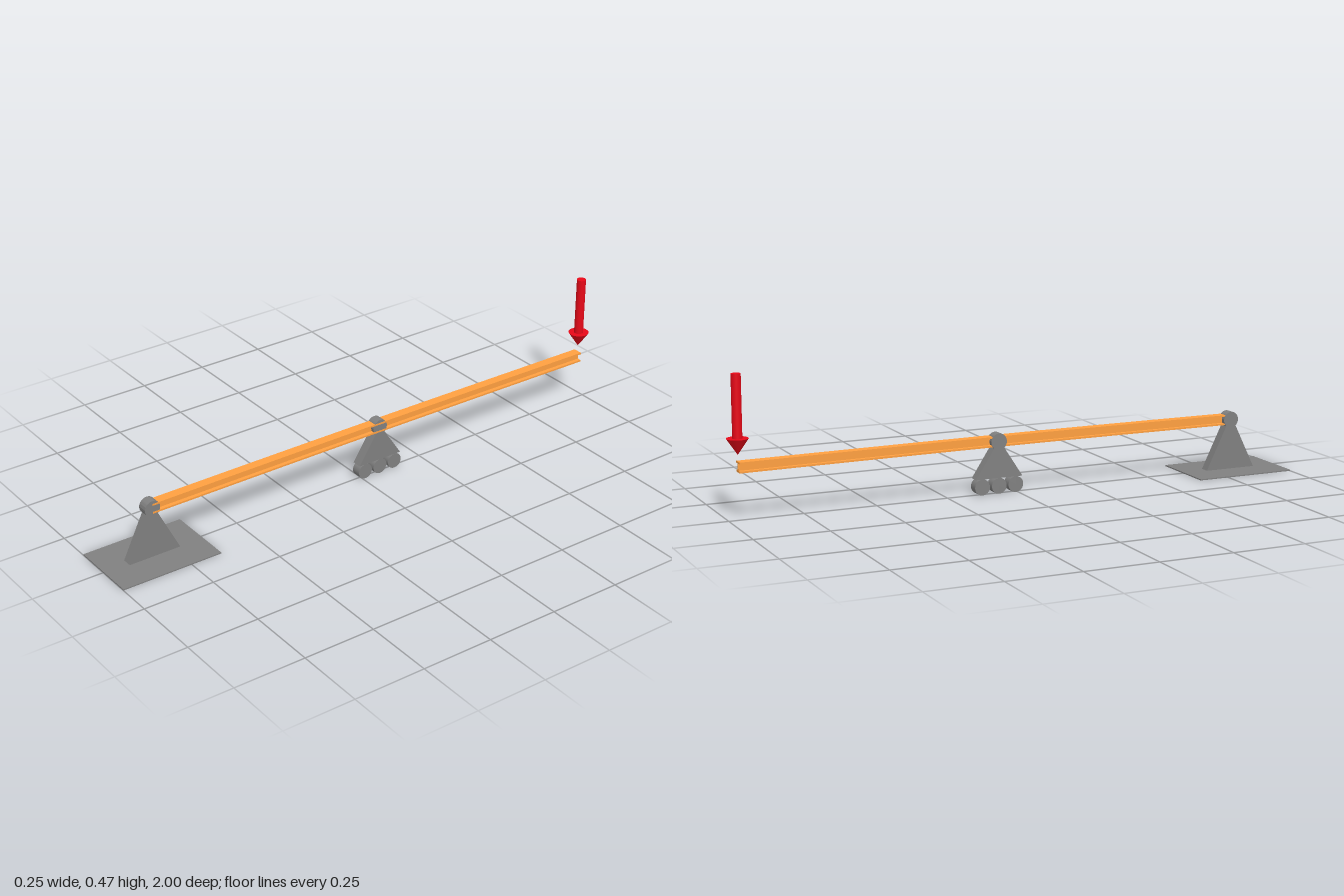
import * as THREE from 'three';
import { toCreasedNormals } from 'three/addons/utils/BufferGeometryUtils.js';

const PIN_Z = 0.82, ROLLER_Z = -0.07, TIP_Z = -0.965; // stations along the beam
const AXIS_Y = 0.178, HUB_R = 0.028, WIDTH = 0.035;

const darkGrey = new THREE.MeshStandardMaterial({ color: 0x808080 });
const orange = new THREE.MeshStandardMaterial({ color: 0xffa040 });
const red = new THREE.MeshStandardMaterial({ color: 0xe80818 });

function add(parent, name, geometry, material, x = 0, y = 0, z = 0) {
  const mesh = new THREE.Mesh(geometry, material);
  mesh.name = name;
  mesh.position.set(x, y, z);
  parent.add(mesh);
  return mesh;
}

// Tapered bracket with a round hub at the beam axis, extruded across x
function bracketGeometry(halfBase, baseY) {
  const a = 0.85; // hub meets the sloping sides this far below its centre
  const s = new THREE.Shape();
  s.moveTo(-halfBase, baseY);
  s.lineTo(halfBase, baseY);
  s.absarc(0, AXIS_Y, HUB_R, -a, Math.PI + a, false);
  s.closePath();
  const g = new THREE.ExtrudeGeometry(s, { depth: WIDTH, bevelEnabled: false, curveSegments: 32 });
  g.translate(0, 0, -WIDTH / 2).rotateY(-Math.PI / 2);
  return toCreasedNormals(g, 0.4);
}

// Deflection: slight uplift between the supports, droop on the overhang
function deflection(z) {
  const span = PIN_Z - ROLLER_Z;
  if (z > ROLLER_Z) {
    const t = (PIN_Z - z) / span;
    return 0.002 * t * (1 - t * t);
  }
  const u = (ROLLER_Z - z) / (ROLLER_Z - TIP_Z);
  return -0.002 * (2 * u + 1.5 * u * u - 0.5 * u * u * u);
}

// I-section swept along z and bent
function beamGeometry() {
  const w = 0.017, h = 0.0175, web = 0.003, f = 0.0115;
  const half = [[w, -h], [w, -f], [web, -f], [web, f], [w, f], [w, h]];
  const points = [...half, ...half.map(([x, y]) => [-x, y]).reverse()];
  const s = new THREE.Shape(points.map(([x, y]) => new THREE.Vector2(x, y)));
  const g = new THREE.ExtrudeGeometry(s, { depth: PIN_Z - TIP_Z, steps: 40, bevelEnabled: false });
  g.translate(0, AXIS_Y, TIP_Z);
  const p = g.attributes.position;
  for (let i = 0; i < p.count; i++) p.setY(i, p.getY(i) + deflection(p.getZ(i)));
  return toCreasedNormals(g, 0.4);
}

export function createModel() {
  const model = new THREE.Group();
  model.name = 'loadedBeam';

  // Beam sits slightly to the left, its flanges just proud of the brackets
  add(model, 'beam', beamGeometry(), orange, 0.0015);

  // Fixed pin support on its ground plate
  const pin = new THREE.Group();
  pin.name = 'pinSupport';
  pin.position.z = PIN_Z;
  add(pin, 'groundPlate', new THREE.BoxGeometry(0.25, 0.004, 0.36), darkGrey, 0, 0.002, 0);
  add(pin, 'pinBracket', bracketGeometry(0.094, 0.003), darkGrey);
  model.add(pin);

  // Sliding support on three rollers
  const slider = new THREE.Group();
  slider.name = 'rollerSupport';
  slider.position.z = ROLLER_Z;
  add(slider, 'rollerBracket', bracketGeometry(0.085, 0.055), darkGrey);
  const roller = new THREE.CylinderGeometry(0.027, 0.027, WIDTH, 32).rotateZ(Math.PI / 2);
  for (const z of [-0.061, 0, 0.061]) add(slider, 'roller', roller, darkGrey, 0, 0.028, z);
  model.add(slider);

  // Load arrow above the free end
  const arrow = new THREE.Group();
  arrow.name = 'loadArrow';
  arrow.position.z = TIP_Z;
  add(arrow, 'arrowShaft', new THREE.CylinderGeometry(0.016, 0.016, 0.207, 32), red, 0, 0.3685, 0);
  add(arrow, 'arrowHead', new THREE.ConeGeometry(0.036, 0.053, 32).rotateX(Math.PI), red, 0, 0.2385, 0);
  model.add(arrow);

  return model;
}
